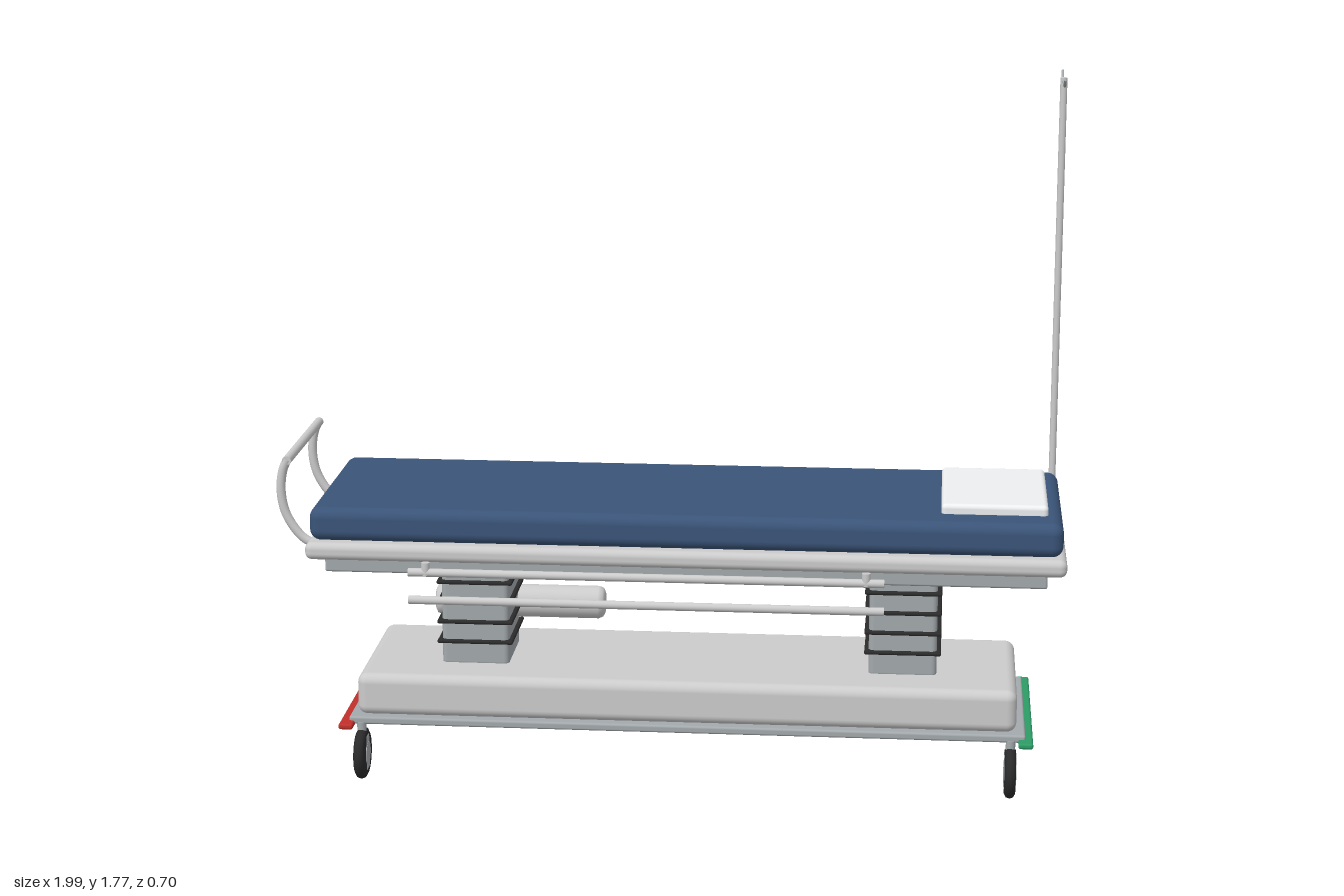
import * as THREE from 'three';
import { RoundedBoxGeometry } from 'three/addons/geometries/RoundedBoxGeometry.js';

const mat = (color) => new THREE.MeshStandardMaterial({ color });

export function createModel() {
  const root = new THREE.Group();
  const grey = mat(0xcccccc), steel = mat(0xa3a9ac), navy = mat(0x3a5478), white = mat(0xeceef0);
  const black = mat(0x2b2b2c), red = mat(0xc0302a), green = mat(0x2c9c66);

  const add = (name, geometry, material, parent = root) => {
    const mesh = new THREE.Mesh(geometry, material);
    mesh.name = name;
    parent.add(mesh);
    return mesh;
  };
  // Rounded block given by its lower and upper limits on each axis
  const block = (name, [x0, x1], [y0, y1], [z0, z1], radius, material, parent) => {
    const geo = new RoundedBoxGeometry(x1 - x0, y1 - y0, z1 - z0, 4, radius);
    geo.translate((x0 + x1) / 2, (y0 + y1) / 2, (z0 + z1) / 2);
    return add(name, geo, material, parent);
  };
  // Straight round bar between two points
  const bar = (name, a, b, radius, material, parent) => {
    const from = new THREE.Vector3(...a), to = new THREE.Vector3(...b);
    const mesh = add(name, new THREE.CylinderGeometry(radius, radius, from.distanceTo(to), 20), material, parent);
    mesh.position.copy(from).add(to).multiplyScalar(0.5);
    mesh.quaternion.setFromUnitVectors(new THREE.Vector3(0, 1, 0), to.sub(from).normalize());
    return mesh;
  };
  const tube = (name, points, radius, material, parent) => {
    const curve = new THREE.CatmullRomCurve3(points.map((p) => new THREE.Vector3(...p)));
    return add(name, new THREE.TubeGeometry(curve, 40, radius, 14), material, parent);
  };

  // Bed top
  block('mattress', [-0.905, 0.985], [0.638, 0.725], [-0.25, 0.292], 0.028, navy);
  block('pillow', [0.682, 0.948], [0.715, 0.75], [-0.17, 0.205], 0.012, white);
  block('bedFrame', [-0.915, 0.995], [0.592, 0.637], [-0.26, 0.304], 0.018, grey);
  block('underDeck', [-0.868, 0.948], [0.556, 0.594], [-0.229, 0.276], 0.006, steel);

  // Base
  block('baseCover', [-0.8, 0.882], [0.165, 0.275], [-0.2, 0.25], 0.025, grey);
  block('basePlate', [-0.82, 0.905], [0.146, 0.166], [-0.212, 0.262], 0.006, steel);
  block('brakeBarFoot', [-0.842, -0.805], [0.141, 0.156], [-0.243, 0.295], 0.006, red);
  block('brakeBarHead', [0.887, 0.924], [0.141, 0.156], [-0.243, 0.295], 0.006, green);

  // Lifting columns with dark bellows rings
  for (const x of [-0.51, 0.591]) {
    const column = new THREE.Group();
    column.name = 'liftColumn';
    root.add(column);
    block('columnBody', [x - 0.087, x + 0.087], [0.265, 0.56], [-0.076, 0.127], 0.014, steel, column);
    for (const y of [0.333, 0.386, 0.439, 0.492])
      block('columnRing', [x - 0.098, x + 0.098], [y - 0.005, y + 0.005], [-0.085, 0.136], 0.0045, black, column);
  }

  // Drive motor beside the foot column
  const motorProfile = [[0, -0.224], [0.028, -0.224], [0.038, -0.219], [0.043, -0.207],
    [0.043, 0.207], [0.038, 0.219], [0.028, 0.224], [0, 0.224]].map((p) => new THREE.Vector2(...p));
  const motor = add('motor', new THREE.LatheGeometry(motorProfile, 32), grey);
  motor.rotation.z = Math.PI / 2;
  motor.position.set(-0.419, 0.382, -0.085);

  // Lowered side rails
  for (const z of [-0.29, 0.341]) {
    const rail = new THREE.Group();
    rail.name = 'sideRail';
    root.add(rail);
    for (const y of [0.58, 0.508])
      bar('railBar', [-0.644, y, z], [0.545, y, z], 0.0105, grey, rail);
    for (const x of [-0.6, 0.5])
      bar('railPost', [x, 0.574, z], [x, 0.606, z], 0.0105, grey, rail);
  }

  // Push handle at the foot end
  const handle = new THREE.Group();
  handle.name = 'pushHandle';
  root.add(handle);
  for (const z of [-0.177, 0.223])
    tube('handleArm', [[-0.9, 0.61, z], [-0.937, 0.634, z], [-0.974, 0.69, z], [-0.986, 0.75, z],
      [-0.98, 0.805, z], [-0.968, 0.834, z]], 0.0115, grey, handle);
  bar('handleGrip', [-0.968, 0.832, -0.186], [-0.968, 0.832, 0.232], 0.0115, grey, handle);

  // Drip pole with double hook
  const pole = new THREE.Group();
  pole.name = 'dripPole';
  root.add(pole);
  bar('poleShaft', [0.971, 0.59, -0.256], [0.971, 1.76, -0.256], 0.009, grey, pole);
  for (const s of [-1, 1])
    tube('poleHook', [[0.971, 1.752, -0.256], [0.971, 1.747, -0.256 + s * 0.035],
      [0.971, 1.748, -0.256 + s * 0.072], [0.971, 1.766, -0.256 + s * 0.095]], 0.0035, steel, pole);

  // Casters: tyre, hub faces, fork plates and stem
  const tyreProfile = [[0, -0.014], [0.055, -0.014], [0.064, -0.009], [0.067, 0],
    [0.064, 0.009], [0.055, 0.014], [0, 0.014]].map((p) => new THREE.Vector2(...p));
  for (const x of [-0.788, 0.868]) for (const z of [-0.18, 0.255]) {
    const caster = new THREE.Group();
    caster.name = 'caster';
    caster.position.set(x, 0.067, z);
    root.add(caster);
    add('tyre', new THREE.LatheGeometry(tyreProfile, 36), black, caster).rotation.z = Math.PI / 2;
    add('hub', new THREE.CylinderGeometry(0.03, 0.03, 0.032, 24), steel, caster).rotation.z = Math.PI / 2;
    block('forkPlate', [-0.0155, 0.0155], [-0.042, 0.048], [-0.018, 0.018], 0.003, steel, caster);
    bar('stem', [0, 0.05, 0], [0, 0.085, 0], 0.012, steel, caster);
  }

  return root;
}
